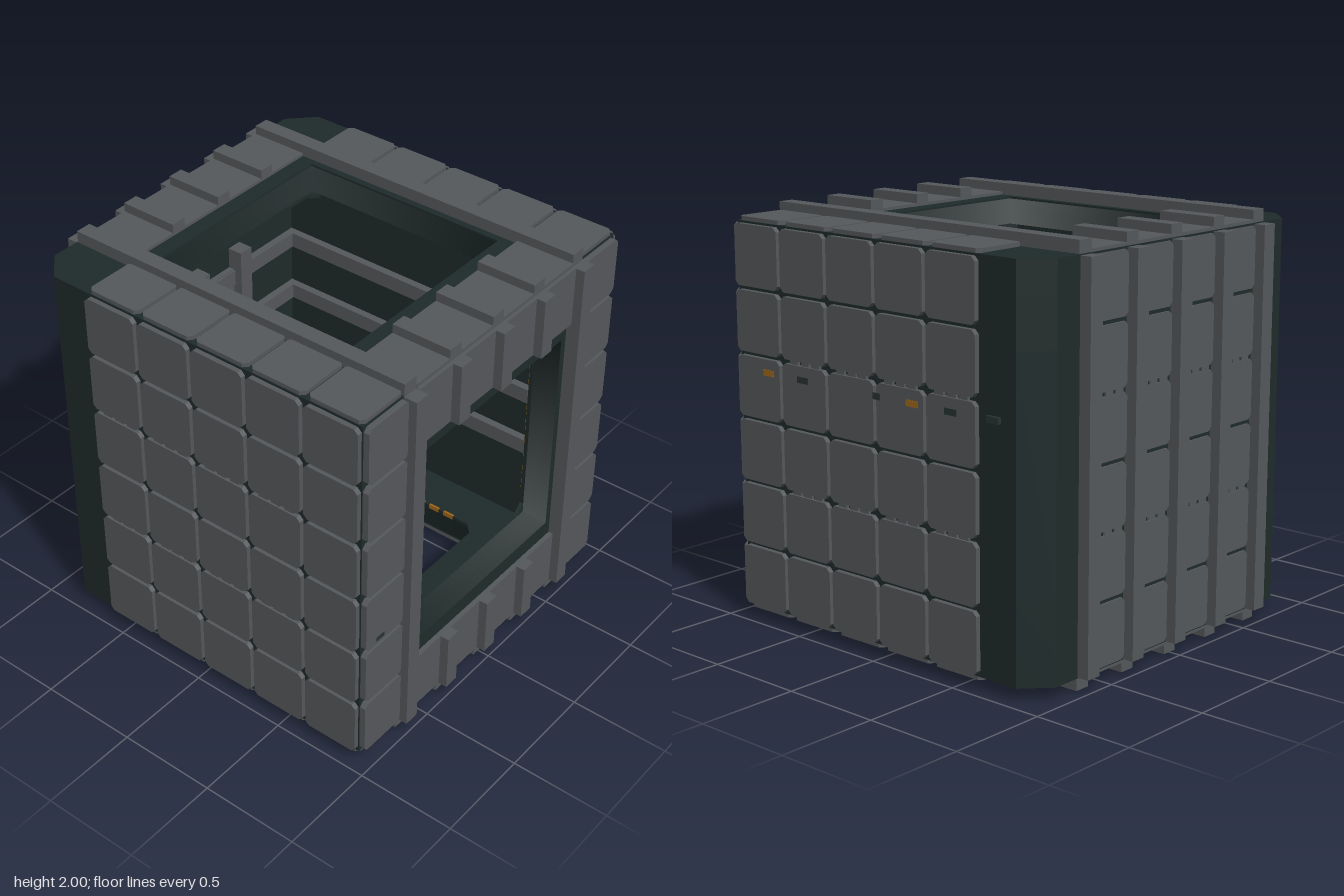
import * as THREE from 'three';

const mat = (name, color, side = THREE.FrontSide) => {
  const m = new THREE.MeshStandardMaterial({ color, side });
  m.name = name;
  return m;
};

export function createModel() {
  const root = new THREE.Group();
  root.name = 'hullModule';
  const grey = mat('panelGrey', 0x55585b);
  const dark = mat('hullDark', 0x1e2b2a, THREE.DoubleSide);
  const orange = mat('markerOrange', 0xa0681a);
  const slate = mat('markerSlate', 0x283233);

  const add = (parent, name, geo, material, x = 0, y = 0, z = 0) => {
    const m = new THREE.Mesh(geo, material);
    m.name = name;
    m.position.set(x, y, z);
    parent.add(m);
    return m;
  };
  const box = (parent, name, material, w, h, d, x, y, z) =>
    add(parent, name, new THREE.BoxGeometry(w, h, d), material, x, y, z);
  const v = (pts) => pts.map(([x, y]) => new THREE.Vector2(x, y));
  const rect = (x0, x1, y0, y1) => v([[x0, y0], [x1, y0], [x1, y1], [x0, y1]]);
  const octagon = (a, b, c) => v([[-a + c, -b], [a - c, -b], [a, -b + c], [a, b - c],
    [a - c, b], [-a + c, b], [-a, b - c], [-a, -b + c]]);
  const extrude = (outline, hole, depth) => {
    const s = new THREE.Shape(outline);
    if (hole) s.holes.push(new THREE.Path(hole));
    return new THREE.ExtrudeGeometry(s, { depth, bevelEnabled: false });
  };

  // Thin-walled hull: stacked plan slices, shape y = -z; the rear corners are cut off
  const plan = [[0.935, -0.93], [0.935, 0.82], [0.81, 0.94], [-0.81, 0.94], [-0.935, 0.82], [-0.935, -0.93]];
  const doorway = [[-0.55, -0.93], [-0.55, -0.79], [-0.76, -0.79], [-0.76, 0.86],
    [0.76, 0.86], [0.76, -0.79], [0.55, -0.79], [0.55, -0.93]];
  const hatch = rect(-0.55, 0.55, -0.55, 0.55), room = rect(-0.76, 0.76, -0.79, 0.86);
  const slice = (name, y0, y1, outline, hole) => {
    const g = extrude(v(outline), hole, y1 - y0);
    g.rotateX(-Math.PI / 2);
    add(root, name, g, dark, 0, y0, 0);
  };
  slice('floorHull', 0.06, 0.21, plan, hatch);
  slice('lowerWalls', 0.21, 0.45, plan, room);
  slice('middleWalls', 0.45, 1.55, [...plan, ...doorway], null);
  slice('upperWalls', 1.55, 1.79, plan, room);
  slice('ceilingHull', 1.79, 1.94, plan, hatch);

  // One group per outer side: local z points outward from the cube centre
  const face = (name, rx, ry) => {
    const g = new THREE.Group();
    g.name = name;
    g.position.y = 1;
    g.rotation.set(rx, ry, 0);
    root.add(g);
    return g;
  };
  const H = Math.PI / 2;
  const front = face('frontSide', 0, 0), back = face('backSide', 0, Math.PI);
  const top = face('topSide', -H, 0), bottom = face('bottomSide', H, 0);
  const left = face('leftSide', 0, H), right = face('rightSide', 0, -H);

  const tiles = (g, x0, x1, nx, y0, y1, ny, outer = 0.96) => {
    const w = (x1 - x0) / nx, h = (y1 - y0) / ny;
    const geo = extrude(octagon(w / 2 - 0.01, h / 2 - 0.01, 0.02), null, 0.03);
    for (let i = 0; i < nx; i++) for (let j = 0; j < ny; j++)
      add(g, 'armourTile', geo, grey, x0 + (i + 0.5) * w, y0 + (j + 0.5) * h, outer - 0.03);
  };

  // Tiled side walls
  tiles(left, -0.935, 0.62, 5, -0.94, 0.94, 6);
  tiles(right, -0.62, 0.935, 5, -0.94, 0.94, 6);

  // Open sides: flared opening with a cut-cornered lip, edge tiles, lintel plates, rails and ribs
  const flare = new THREE.CylinderGeometry(0.55 * Math.SQRT2, 0.53 * Math.SQRT2, 0.13, 4, 1, true);
  flare.rotateY(Math.PI / 4);
  flare.rotateX(H);
  const lip = extrude(rect(-0.575, 0.575, -0.575, 0.575), octagon(0.53, 0.53, 0.05), 0.02);
  for (const [g, y0, y1, n] of [[front, -0.94, 0.94, 6], [top, -0.935, 0.62, 5], [bottom, -0.62, 0.935, 5]]) {
    add(g, 'openingFlare', flare, dark, 0, 0, 0.865);
    add(g, 'openingLip', lip, dark, 0, 0, 0.785);
    tiles(g, -0.94, -0.645, 1, y0, y1, n);
    tiles(g, 0.645, 0.94, 1, y0, y1, n);
    for (const s of [-1, 1]) {
      box(g, 'rail', grey, 0.08, 1.87, 0.07, s * 0.625, 0, 0.965);
      box(g, 'lintelPlate', grey, 1.17, 0.305, 0.03, 0, s * 0.785, 0.94);
      for (const x of [-0.312, 0, 0.312])
        box(g, 'rib', grey, 0.08, 0.305, 0.07, x, s * 0.785, 0.965);
    }
  }

  // Rear wall: five full rails with nearly flush tiles between them
  const rails = [-0.625, -0.312, 0, 0.312, 0.625];
  rails.forEach((x, i) => {
    box(back, 'rail', grey, 0.08, 1.87, 0.07, x, 0, 0.965);
    if (i < 4) tiles(back, x + 0.03, rails[i + 1] - 0.03, 1, -0.94, 0.94, 6, 0.95);
  });

  // Small clips in two of the tile seams
  for (const y of [-0.313, 0.313]) for (const o of [-0.075, 0, 0.07]) {
    for (const c of [-0.47, -0.16, 0.15, 0.46]) {
      box(left, 'seamClip', grey, 0.052, 0.02, 0.02, c + o, y, 0.94);
      box(right, 'seamClip', grey, 0.052, 0.02, 0.02, -c - o, y, 0.94);
      box(back, 'seamClip', grey, 0.052, 0.02, 0.01, c + o, y, 0.942);
    }
  }

  // Marker plates
  for (const x of [-0.71, 0.23]) box(left, 'orangeMarker', orange, 0.07, 0.03, 0.006, x, 0.24, 0.96);
  for (const [x, w] of [[-0.475, 0.07], [0.01, 0.045], [0.465, 0.07]])
    box(left, 'slateMarker', slate, w, 0.03, 0.006, x, 0.24, 0.96);
  box(left, 'slateMarker', slate, 0.07, 0.03, 0.02, 0.7, 0.24, 0.943);
  box(front, 'slateMarker', slate, 0.055, 0.02, 0.006, -0.83, -0.275, 0.96);

  // Interior: cross bars on three walls, plate and posts on the rear wall
  for (const y of [0.69, 1.0, 1.315]) {
    box(root, 'innerBackBar', grey, 1.52, 0.08, 0.04, 0, y, -0.84);
    for (const s of [-1, 1]) box(root, 'innerSideBar', grey, 0.04, 0.08, 1.64, s * 0.74, y, -0.035);
  }
  box(root, 'innerPlate', grey, 0.395, 0.71, 0.045, -0.157, 1.005, -0.84);
  box(root, 'innerPlate', grey, 0.315, 0.39, 0.045, 0.197, 0.845, -0.84);
  box(root, 'innerPlate', grey, 0.315, 0.32, 0.03, 0.197, 1.2, -0.845);
  for (const x of [-0.312, 0, 0.312]) box(root, 'innerPost', grey, 0.08, 0.94, 0.08, x, 1, -0.82);

  // Dashed orange strips along the inner lips of the doorway and floor hatch
  for (const s of [-1, 1]) for (let i = 0; i < 9; i++) {
    const t = -0.36 + i * 0.09;
    box(root, 'doorDash', orange, 0.012, 0.06, 0.008, s * 0.541, 1 + t, 0.784);
    box(root, 'hatchDash', orange, 0.012, 0.024, 0.06, s * 0.5355, 0.206, t);
  }
  return root;
}
